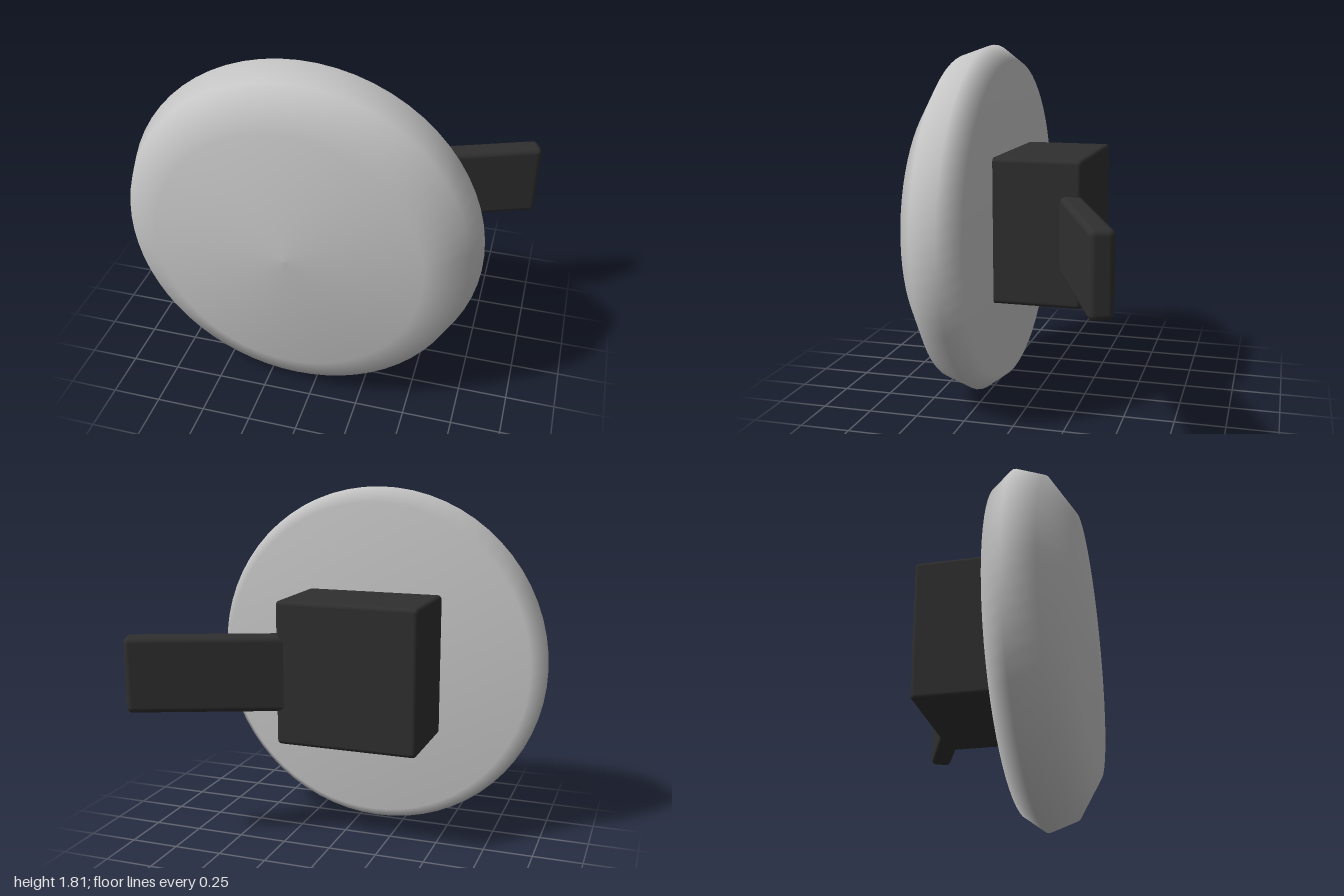
import * as THREE from 'three';
import { RoundedBoxGeometry } from 'three/addons/geometries/RoundedBoxGeometry.js';

export function createModel() {
  const model = new THREE.Group();
  const grey = new THREE.MeshStandardMaterial({ color: 0xc8c8c8 });
  grey.name = 'light grey';
  const black = new THREE.MeshStandardMaterial({ color: 0x2f2f2f });
  black.name = 'charcoal';
  const midY = 0.91;

  const add = (name, geometry, material, x, y, z) => {
    const mesh = new THREE.Mesh(geometry, material);
    mesh.name = name;
    mesh.position.set(x, y, z);
    model.add(mesh);
    return mesh;
  };

  // Domed disc: radius and depth, from the back centre to the front centre
  const profile = [
    [0, 0.165], [0.83, 0.165], [0.905, 0.265], [0.856, 0.408], [0.662, 0.53], [0, 0.566],
  ].map(([r, z]) => new THREE.Vector2(r, z));
  const disc = new THREE.LatheGeometry(profile, 64);
  disc.rotateX(Math.PI / 2);
  add('disc', disc, grey, -0.095, midY, 0);

  // Block behind the disc
  add('block', new RoundedBoxGeometry(0.73, 0.735, 0.5, 3, 0.022), black, -0.095, midY + 0.002, -0.03);

  // Flat arm swept back from the block's corner
  const angle = THREE.MathUtils.degToRad(22);
  const length = 0.84;
  const arm = add('arm', new RoundedBoxGeometry(length, 0.388, 0.115, 3, 0.03), black,
    0.978 - Math.cos(angle) * length / 2, midY, -0.521 + Math.sin(angle) * length / 2);
  arm.rotation.y = angle;

  return model;
}
